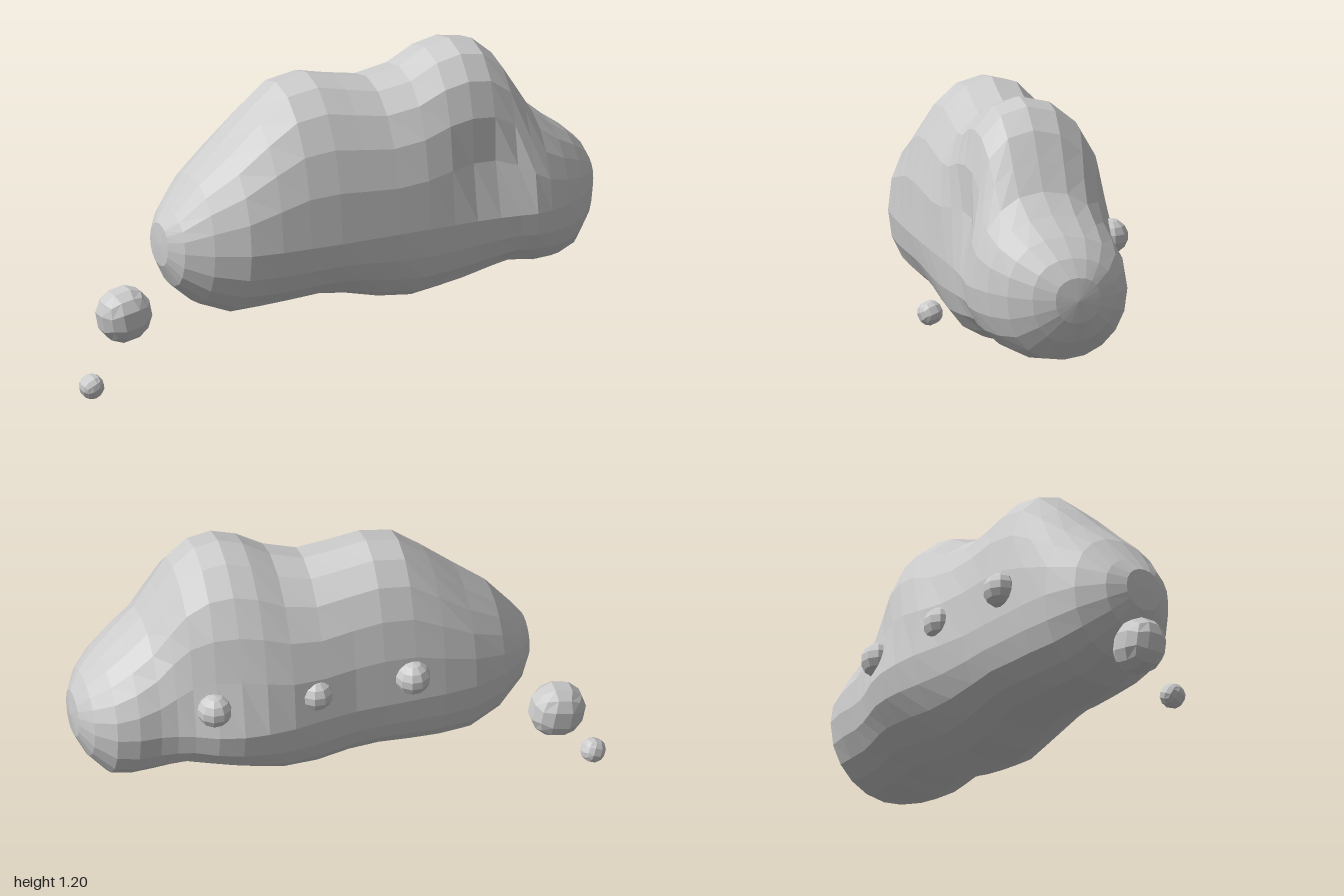
import * as THREE from 'three';

const material = new THREE.MeshStandardMaterial({ color: 0xcccccc, flatShading: true });

// Cloud stations: x, bottom y, top y, front z, back z, z of the crest
const stations = [
  [-0.71, 0.50, 0.66, 0.09, -0.06, 0.02],
  [-0.67, 0.42, 0.71, 0.155, -0.125, 0.02],
  [-0.58, 0.34, 0.82, 0.22, -0.20, 0.01],
  [-0.46, 0.29, 0.92, 0.275, -0.245, 0.00],
  [-0.34, 0.29, 1.03, 0.29, -0.26, -0.01],
  [-0.23, 0.295, 1.12, 0.295, -0.265, -0.01],
  [-0.11, 0.305, 1.14, 0.30, -0.27, -0.01],
  [0.00, 0.29, 1.115, 0.30, -0.275, 0.00],
  [0.12, 0.262, 1.092, 0.30, -0.295, 0.01],
  [0.24, 0.255, 1.12, 0.30, -0.32, 0.03],
  [0.34, 0.275, 1.18, 0.30, -0.328, 0.04],
  [0.43, 0.295, 1.205, 0.30, -0.325, 0.05],
  [0.52, 0.32, 1.19, 0.305, -0.305, 0.05],
  [0.60, 0.338, 1.12, 0.315, -0.27, 0.05],
  [0.66, 0.33, 1.02, 0.325, -0.25, 0.05],
  [0.72, 0.318, 0.92, 0.315, -0.24, 0.05],
  [0.80, 0.315, 0.85, 0.285, -0.24, 0.04],
  [0.88, 0.33, 0.79, 0.235, -0.22, 0.02],
  [0.95, 0.41, 0.725, 0.16, -0.16, 0.01],
  [0.99, 0.49, 0.66, 0.085, -0.085, 0.00],
];
const WAIST = 0.58;

// Joins egg-shaped cross-sections into a closed skin
function cloudGeometry(sides = 20) {
  const points = [], index = [];
  const bulge = (v) => Math.sign(v) * Math.abs(v) ** 0.92;
  for (const [x, bottom, top, front, back, crest] of stations) {
    const mid = (front + back) / 2;
    for (let j = 0; j < sides; j++) {
      const a = (j / sides) * Math.PI * 2;
      const c = bulge(Math.cos(a)), s = bulge(Math.sin(a));
      const y = WAIST + s * (s > 0 ? top - WAIST : WAIST - bottom);
      // Shallow hollow between the tall puff and the end puff, front and back
      const hollow = 0.045 * Math.exp(-(((x - 0.52) / 0.17) ** 2) - ((y - 0.83) / 0.13) ** 2);
      const z = mid + c * ((front - back) / 2 - hollow) + (crest - mid) * s * s;
      points.push(x, y, z);
    }
  }
  const rings = stations.length;
  for (let i = 0; i < rings - 1; i++) {
    for (let j = 0; j < sides; j++) {
      const k = (j + 1) % sides;
      const a = i * sides + j, b = i * sides + k;
      index.push(a, a + sides, b, b, a + sides, b + sides);
    }
  }
  // End poles
  const left = rings * sides, right = left + 1, last = (rings - 1) * sides;
  points.push(-0.715, 0.58, 0.02, 1.0, 0.575, 0);
  for (let j = 0; j < sides; j++) {
    const k = (j + 1) % sides;
    index.push(left, j, k, right, last + k, last + j);
  }
  const geometry = new THREE.BufferGeometry();
  geometry.setAttribute('position', new THREE.Float32BufferAttribute(points, 3));
  geometry.setIndex(index);
  geometry.computeVertexNormals();
  return geometry;
}

// Box pushed out to a blocky sphere
function blockySphere(radius) {
  const geometry = new THREE.BoxGeometry(1, 1, 1, 3, 3, 3);
  const position = geometry.attributes.position;
  const v = new THREE.Vector3();
  for (let i = 0; i < position.count; i++) {
    v.fromBufferAttribute(position, i).setLength(radius);
    position.setXYZ(i, v.x, v.y, v.z);
  }
  geometry.computeVertexNormals();
  return geometry;
}

export function createModel() {
  const group = new THREE.Group();
  const add = (name, geometry, x = 0, y = 0, z = 0) => {
    const mesh = new THREE.Mesh(geometry, material);
    mesh.name = name;
    mesh.position.set(x, y, z);
    group.add(mesh);
    return mesh;
  };

  add('cloudBody', cloudGeometry());

  // Trailing bubbles
  const large = add('largeBubble', blockySphere(0.107), -0.808, 0.293, -0.075);
  large.scale.z = 0.86;
  large.rotation.z = 0.2;
  add('smallBubble', blockySphere(0.047), -0.955, 0.05, -0.035).rotation.set(0.3, 0.2, 0.4);

  // Row of three dots on the back
  [-0.215, 0.15, 0.53].forEach((x, i) => {
    add('backDot' + (i + 1), new THREE.SphereGeometry(0.065, 10, 7), x, 0.685, -0.263);
  });
  return group;
}
